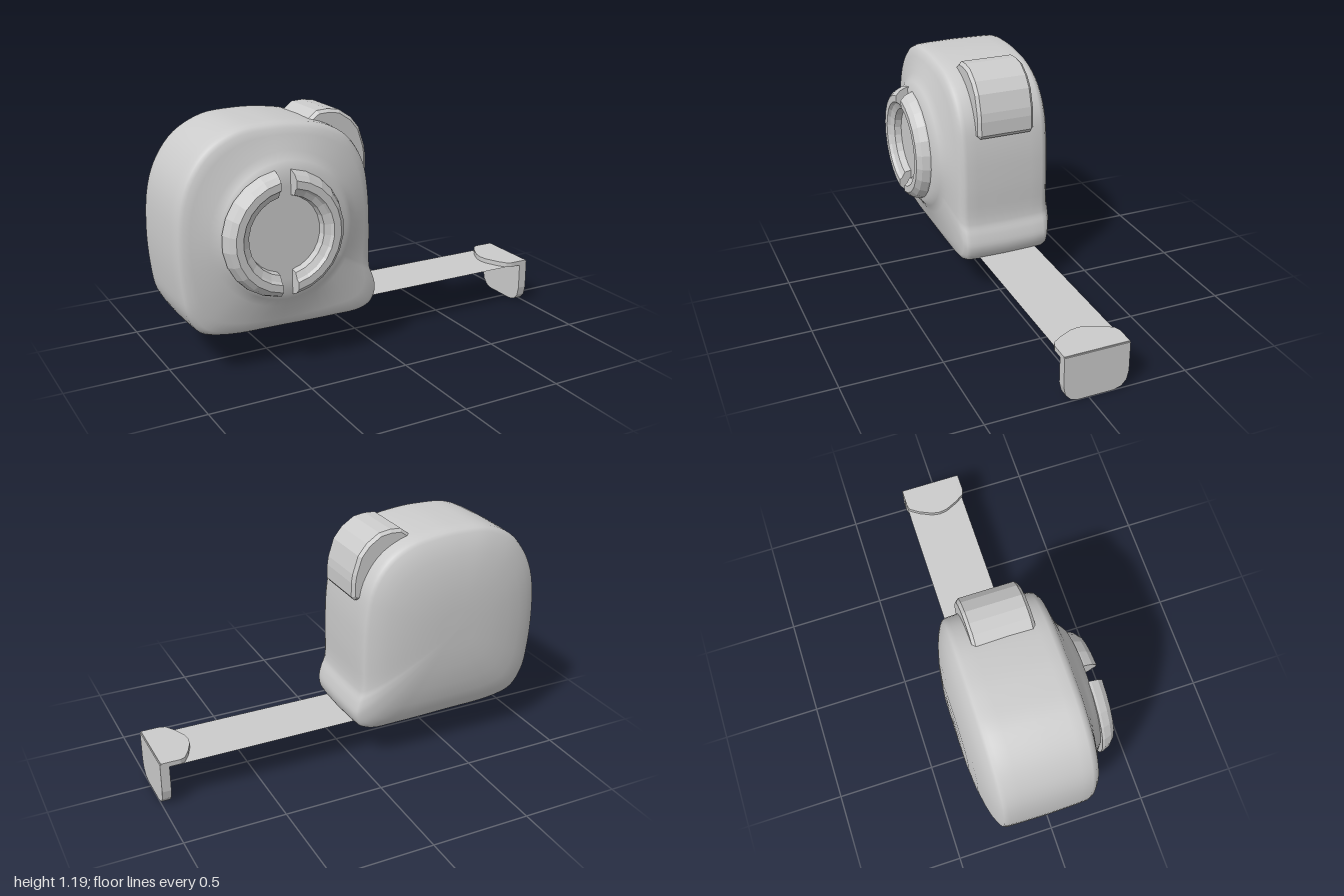
import * as THREE from 'three';

const CX = -0.49, CY = 0.68; // centre of the case
const grey = (opts = {}) => new THREE.MeshStandardMaterial({ color: 0xcccccc, ...opts });

function add(parent, name, geometry, material) {
  const mesh = new THREE.Mesh(geometry, material);
  mesh.name = name;
  parent.add(mesh);
  return mesh;
}

const shapeFrom = (pts) => new THREE.Shape(pts.map(([x, y]) => new THREE.Vector2(x, y)));

// Case: a rounded outline lofted through z, blending to a circle at front and back
function caseGeometry() {
  const outline = new THREE.CatmullRomCurve3([
    [-1, 0.65], [-0.99, 0.45], [-0.965, 0.32], [-0.9, 0.225], [-0.78, 0.19], [-0.5, 0.18],
    [-0.2, 0.175], [-0.06, 0.18], [0, 0.21], [0.026, 0.275], [0.014, 0.34], [-0.008, 0.4],
    [-0.01, 0.6], [-0.02, 0.8], [-0.05, 0.95], [-0.13, 1.07], [-0.25, 1.14], [-0.42, 1.17],
    [-0.55, 1.174], [-0.7, 1.16], [-0.84, 1.09], [-0.93, 0.98], [-0.98, 0.85],
  ].map(([x, y]) => new THREE.Vector3(x, y, 0)), true).getPoints(92).slice(0, -1);

  // z, scale of the outline, blend to circle, circle radius
  const sections = [
    [-0.346, 0, 1, 0], [-0.345, 0.2, 0.5, 0.1], [-0.342, 0.4, 0.4, 0.2], [-0.33, 0.61, 0.25, 0.3],
    [-0.312, 0.76, 0.1, 0.38], [-0.295, 0.86, 0, 0], [-0.275, 0.94, 0, 0], [-0.262, 0.975, 0, 0],
    [-0.24, 0.99, 0, 0], [-0.18, 0.995, 0, 0], [-0.03, 1, 0, 0], [0.11, 0.995, 0, 0],
    [0.16, 0.99, 0, 0], [0.18, 0.975, 0, 0], [0.195, 0.94, 0, 0], [0.205, 0.9, 0.25, 0.42],
    [0.23, 0.8, 1, 0.37], [0.252, 0.7, 1, 0.33], [0.28, 0.6, 1, 0.295], [0.28, 0, 1, 0.22],
    [0.28, 0, 1, 0.1], [0.28, 0, 1, 0],
  ];
  const n = outline.length, pos = [], index = [];
  sections.forEach(([z, s, blend, r], i) => {
    outline.forEach((p, j) => {
      const dx = p.x - CX, dy = p.y - CY, d = Math.hypot(dx, dy);
      const k = THREE.MathUtils.lerp(s, r / d, blend);
      pos.push(CX + dx * k, CY + dy * k, z);
      if (i === sections.length - 1) return;
      const a = i * n + j, b = i * n + (j + 1) % n;
      index.push(a, b, b + n, a, b + n, a + n);
    });
  });
  const g = new THREE.BufferGeometry();
  g.setAttribute('position', new THREE.Float32BufferAttribute(pos, 3));
  g.setIndex(index);
  g.computeVertexNormals();
  return g;
}

// Half of the raised front ring, cut square at x = gap and closed at both ends
function halfRingGeometry(gap) {
  const profile = [[0.3, 0.275], [0.298, 0.288], [0.284, 0.322], [0.26, 0.345], [0.225, 0.345],
    [0.215, 0.33], [0.187, 0.315], [0.18, 0.275]];
  const steps = 11, n = profile.length, pos = [], index = [];
  for (let i = 0; i <= steps; i++) {
    for (const [r, z] of profile) {
      const limit = Math.acos(gap / r);
      const a = -limit + (2 * limit * i) / steps;
      pos.push(r * Math.cos(a), r * Math.sin(a), z);
    }
  }
  for (let i = 0; i < steps; i++) {
    for (let j = 0; j < n; j++) {
      const a = i * n + j, b = i * n + (j + 1) % n;
      index.push(a, a + n, b + n, a, b + n, b);
    }
  }
  // end caps
  const caps = THREE.ShapeUtils.triangulateShape(profile.map(([x, y]) => new THREE.Vector2(x, y)), []);
  const last = steps * n;
  for (const [a, b, c] of caps) index.push(a, b, c, last + a, last + c, last + b);
  const g = new THREE.BufferGeometry();
  g.setAttribute('position', new THREE.Float32BufferAttribute(pos, 3));
  g.setIndex(index);
  return g;
}

export function createModel() {
  const model = new THREE.Group();
  model.name = 'tapeMeasure';

  add(model, 'case', caseGeometry(), grey());

  // Split ring on the front face
  const ring = new THREE.Group();
  ring.name = 'frontRing';
  ring.position.set(-0.52, CY, 0);
  model.add(ring);
  for (const side of [0, 1]) {
    const half = add(ring, side ? 'ringHalfRight' : 'ringHalfLeft', halfRingGeometry(0.038),
      grey({ flatShading: true, side: THREE.DoubleSide }));
    half.rotation.z = side * Math.PI;
  }

  // Curved lock button over the top corner
  const bevel = 0.015;
  const button = new THREE.ExtrudeGeometry(shapeFrom([
    [-0.285, 1.145], [-0.25, 1.17], [-0.2, 1.173], [-0.145, 1.165], [-0.085, 1.125], [-0.045, 1.075],
    [-0.018, 0.99], [-0.012, 0.95], [-0.012, 0.885], [-0.02, 0.875], [-0.045, 0.875], [-0.07, 0.95],
    [-0.14, 1.05], [-0.25, 1.12],
  ]), { depth: 0.295 - 2 * bevel, bevelThickness: bevel, bevelSize: bevel, bevelSegments: 1 });
  button.translate(0, 0, -0.185 + bevel);
  add(model, 'lockButton', button, grey());

  // Thin blade pulled out of the case
  const blade = new THREE.PlaneGeometry(1.03, 0.31);
  blade.rotateX(-Math.PI / 2).translate(0.455, 0.215, -0.045);
  add(model, 'blade', blade, grey({ side: THREE.DoubleSide }));

  // End hook: tongue lying on the blade and a plate hanging down
  const hook = new THREE.Group();
  hook.name = 'endHook';
  model.add(hook);
  const tongue = new THREE.ExtrudeGeometry(shapeFrom([
    [0.995, -0.125], [0.995, 0.2], [0.9, 0.2], [0.875, 0.19], [0.845, 0.145], [0.815, 0.08],
    [0.808, 0.0375], [0.815, -0.005], [0.845, -0.07], [0.875, -0.115], [0.9, -0.125],
  ].reverse()), { depth: 0.024, bevelEnabled: false });
  tongue.rotateX(-Math.PI / 2).translate(0, 0.216, 0);
  add(hook, 'hookTongue', tongue, grey());

  const plate = new THREE.ExtrudeGeometry(shapeFrom([
    [-0.125, 0.235], [-0.125, 0.085], [-0.115, 0.04], [-0.09, 0.012], [-0.05, 0], [0.125, 0],
    [0.165, 0.012], [0.19, 0.04], [0.2, 0.085], [0.2, 0.235],
  ]), { depth: 0.045, bevelEnabled: false });
  plate.rotateY(Math.PI / 2).translate(0.955, 0, 0);
  add(hook, 'hookPlate', plate, grey());

  return model;
}
